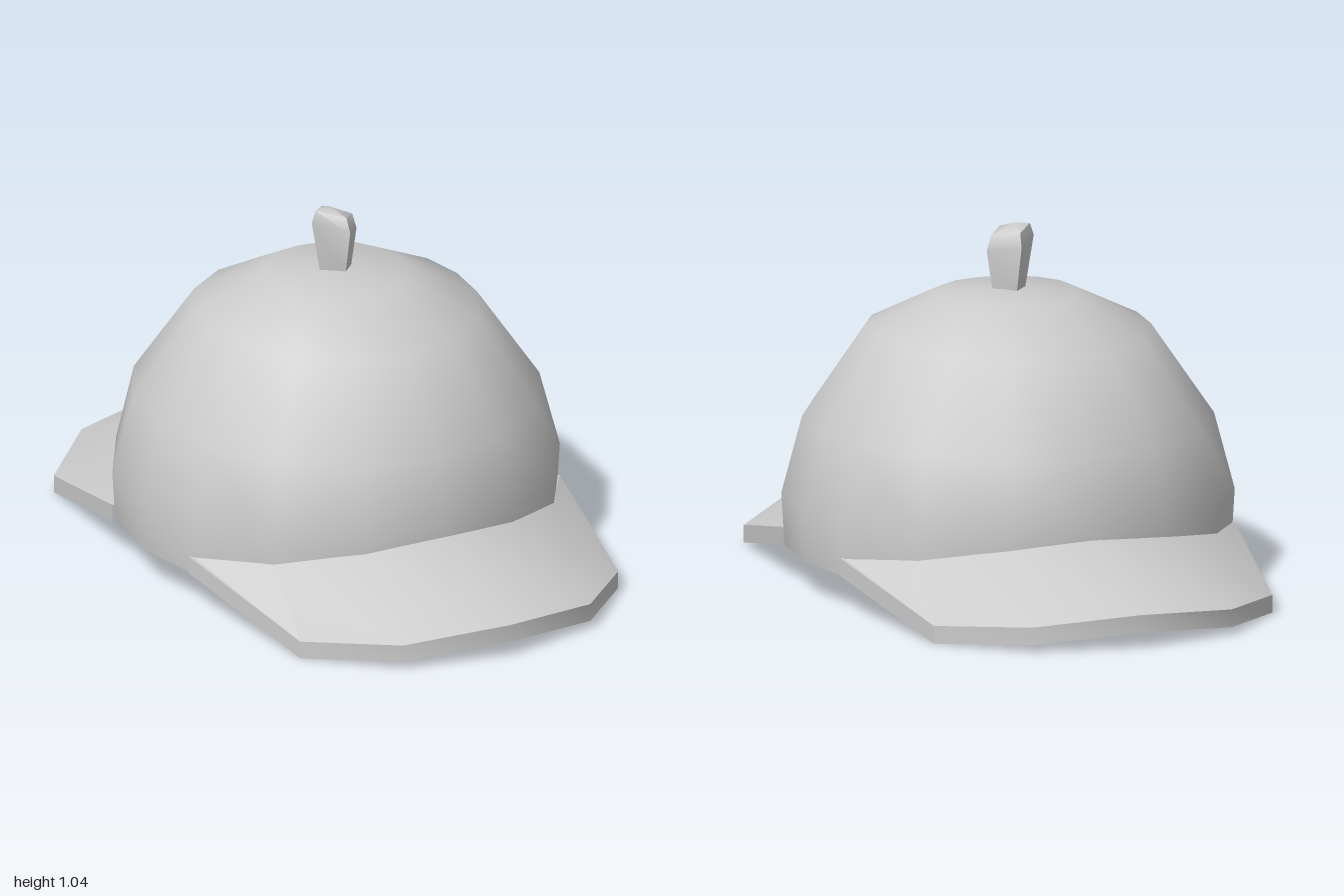
import * as THREE from 'three';
import { toCreasedNormals } from 'three/addons/utils/BufferGeometryUtils.js';

const grey = new THREE.MeshStandardMaterial({ color: 0xcccccc });

// Skins a list of rows of [x, y, z] points, facing outwards when rows run downwards and columns run to +x
function loft(name, rows, crease) {
  const cols = rows[0].length;
  const index = [];
  for (let i = 0; i < rows.length - 1; i++) {
    for (let j = 0; j < cols - 1; j++) {
      const a = i * cols + j, b = a + cols;
      index.push(a, b, b + 1, a, b + 1, a + 1);
    }
  }
  const geometry = new THREE.BufferGeometry();
  geometry.setAttribute('position', new THREE.Float32BufferAttribute(rows.flat(2), 3));
  geometry.setIndex(index);
  const mesh = new THREE.Mesh(toCreasedNormals(geometry, crease), grey);
  mesh.name = name;
  return mesh;
}

// One quarter of the 16-sided head outline, from the front (+z) to the side (+x)
const outline = [[0, 0.64], [0.24, 0.6], [0.465, 0.455], [0.61, 0.225], [0.64, 0]];
const seamTop = [0.25, 0.23, 0.19, 0.16]; // where the brim meets the crown
const rimY = [0.2, 0.18, 0.14, 0.105, 0.105]; // lower edge of the crown

// Mirrors the quarter outline right round the head
function column(j) {
  const k = ((j % 16) + 16) % 16;
  const half = k > 8 ? 16 - k : k;
  const q = half > 4 ? 8 - half : half;
  const [x, z] = outline[q];
  return { q, x: k > 8 ? -x : x, z: half > 4 ? -z : z };
}

// Hollow crown: outer skin down to the rim, then inner skin back up
function makeCrown() {
  // [scale at front, scale at side, height at front, height at side]
  const outer = [
    [0, 0, 0.857, 0.857], [0.335, 0.31, 0.842, 0.847], [0.67, 0.625, 0.73, 0.75],
    [0.935, 0.905, 0.48, 0.485], [1, 1, 0.255, 0.26],
  ];
  const ring = ([s0, s1, y0, y1], inset, drop) => Array.from({ length: 17 }, (_, j) => {
    const { x, z } = column(j);
    const t = (x * x) / (x * x + z * z);
    const s = Math.max(0, THREE.MathUtils.lerp(s0, s1, t) - inset);
    return [x * s, THREE.MathUtils.lerp(y0, y1, t) - drop, z * s];
  });
  const rim = s => Array.from({ length: 17 }, (_, j) => {
    const { q, x, z } = column(j);
    return [x * s, rimY[q], z * s];
  });
  const rows = [
    ...outer.map(r => ring(r, 0, 0)), rim(0.985), rim(0.945),
    ...outer.map((r, i) => ring(r, 0.012 * i, i < 4 ? 0.016 : 0)).reverse(),
  ];
  return loft('crown', rows, 0.95);
}

// Sloping brim, tapering to a point at each side
function makeBrim(name) {
  const edge = [[0, 0.103, 1], [0.31, 0.077, 0.925], [0.525, 0.056, 0.71], [0.612, 0.16, 0.222]];
  const rows = [[], [], [], []];
  for (let j = -3; j <= 3; j++) {
    const { q, x, z } = column(j);
    const [ex, ey, ez] = edge[q];
    const sx = Math.sign(j) * ex;
    rows[0].push([x * 0.985, seamTop[q], z * 0.985]);
    rows[1].push([sx, ey, ez]);
    rows[2].push([sx, ey - 0.052, ez]);
    rows[3].push([x * 0.95, rimY[q], z * 0.95]);
  }
  return loft(name, rows, 0.6);
}

// Four-sided stalk with a tilted, rounded head
function makeStalk() {
  const ring = (left, right, yLeft, yRight, back, front) => {
    const mid = (left + right) / 2, y = (yLeft + yRight) / 2;
    return [
      [mid + 0.01, y, front], [right, yRight, 0.01], [mid - 0.005, y, -back],
      [left, yLeft, 0], [mid + 0.01, y, front],
    ];
  };
  return loft('stalk', [
    Array(5).fill([-0.02, 1.045, 0]),
    ring(-0.068, 0.048, 1.04, 1.012, 0.055, 0.06),
    ring(-0.08, 0.062, 1.005, 0.965, 0.068, 0.08),
    ring(-0.052, 0.043, 0.845, 0.845, 0.042, 0.045),
  ], 1.0);
}

export function createModel() {
  const cap = new THREE.Group();
  cap.name = 'cap';
  const backBrim = makeBrim('backBrim');
  backBrim.rotation.y = Math.PI;
  cap.add(makeCrown(), makeBrim('frontBrim'), backBrim, makeStalk());
  return cap;
}
